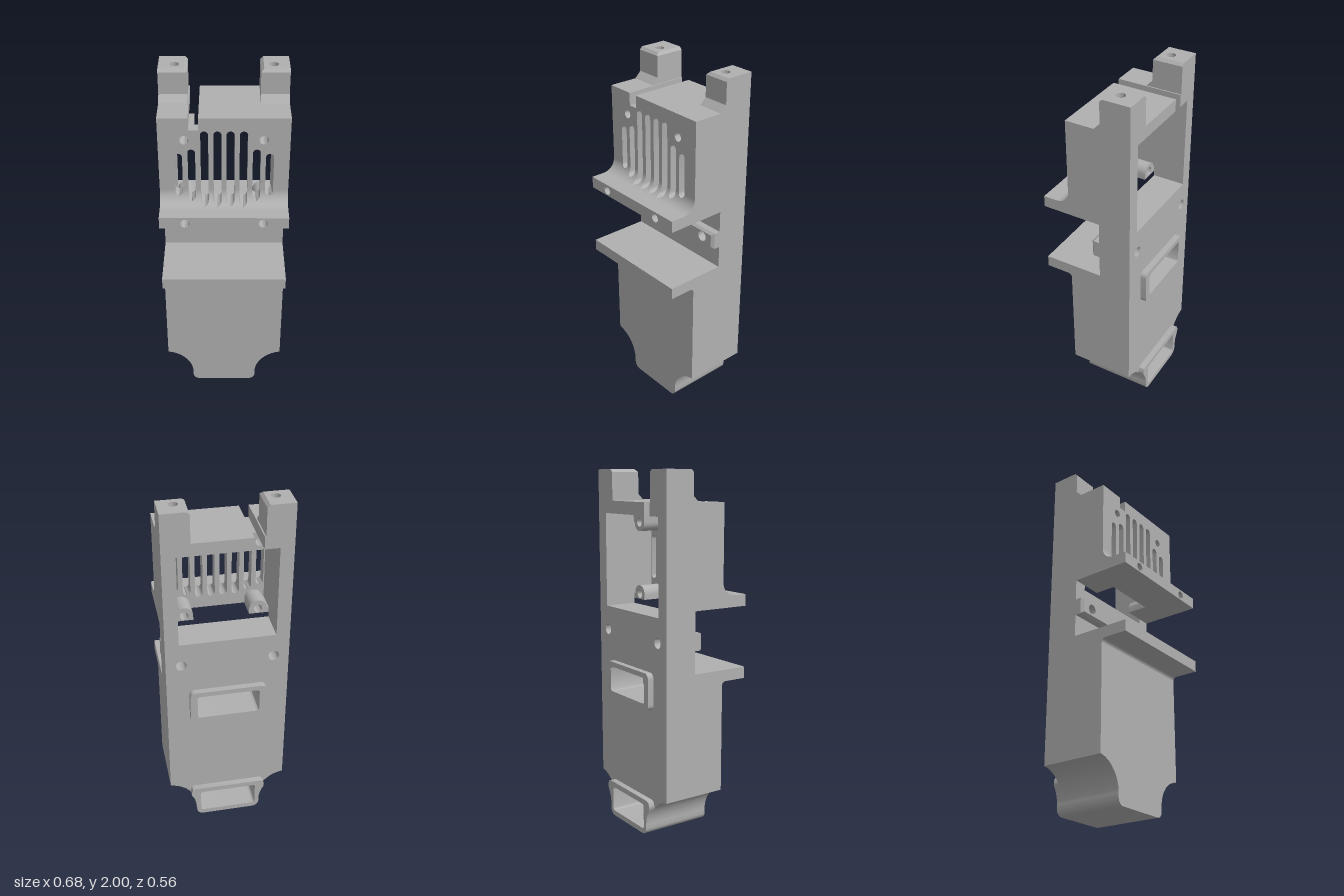
import * as THREE from 'three';
import { toCreasedNormals } from 'three/addons/utils/BufferGeometryUtils.js';

const W = 0.34;                       // body half width
const BACK = -0.245, MID = -0.06, INNER = 0.06, FRONT = 0.125, EDGE = 0.28; // z planes

export function createModel() {
  const model = new THREE.Group();
  const grey = new THREE.MeshStandardMaterial({ color: 0xb0b0b0 });
  grey.name = 'grey plastic';

  const add = (name, geo) => {
    const mesh = new THREE.Mesh(geo, grey);
    mesh.name = name;
    model.add(mesh);
    return mesh;
  };
  const box = (name, x0, x1, y0, y1, z0, z1) => add(name,
    new THREE.BoxGeometry(x1 - x0, y1 - y0, z1 - z0)
      .translate((x0 + x1) / 2, (y0 + y1) / 2, (z0 + z1) / 2));
  const poly = (pts) => new THREE.Shape(pts.map(([x, y]) => new THREE.Vector2(x, y)));
  const rect = (x0, x1, y0, y1) => poly([[x0, y0], [x1, y0], [x1, y1], [x0, y1]]);
  const circle = (x, y, r) => new THREE.Path().absarc(x, y, r, 0, Math.PI * 2, false);
  const extrude = (shape, depth) =>
    new THREE.ExtrudeGeometry(shape, { depth, bevelEnabled: false, curveSegments: 14 });
  // Plate extruded along z between two planes
  const plate = (name, shape, z0, z1) =>
    add(name, toCreasedNormals(extrude(shape, z1 - z0).translate(0, 0, z0), 0.6));
  // Profile in (z, y) extruded along x
  const bar = (name, shape, x0, x1) =>
    add(name, toCreasedNormals(extrude(shape, x1 - x0).rotateY(-Math.PI / 2).translate(x1, 0, 0), 0.6));
  // Chamfered cap: vertices at the far end follow a rule
  const cap = (shape, depth, rule) => {
    const geo = extrude(shape, depth), p = geo.attributes.position;
    for (let i = 0; i < p.count; i++) {
      if (p.getZ(i) > depth / 2) p.setXY(i, ...rule(p.getX(i), p.getY(i)));
    }
    return geo;
  };
  const roundRect = (x, y0, y1, r) => {
    const s = new THREE.Shape();
    s.absarc(x - r, y0 + r, r, -Math.PI / 2, 0, false);
    s.absarc(x - r, y1 - r, r, 0, Math.PI / 2, false);
    s.absarc(r - x, y1 - r, r, Math.PI / 2, Math.PI, false);
    s.absarc(r - x, y0 + r, r, Math.PI, Math.PI * 1.5, false);
    return s;
  };

  // Outline with the scooped lower corners, for a given half width and top edge
  const footOutline = (w, top) => {
    const a = Math.acos((w - 0.36) / 0.17), s = new THREE.Shape();
    top.forEach(([x, y], i) => (i ? s.lineTo(x, y) : s.moveTo(x, y)));
    s.absarc(0.36, 0.06, 0.17, a, Math.PI, false);
    s.absarc(0.15, 0.04, 0.04, 0, -Math.PI / 2, true);
    s.absarc(-0.15, 0.04, 0.04, -Math.PI / 2, -Math.PI, true);
    s.absarc(-0.36, 0.06, 0.17, 0, Math.PI - a, false);
    return s;
  };

  // Back half: ports, screw holes and the large window, open at the top
  const back = footOutline(W, [[-W, 1.76], [-0.265, 1.76], [-0.265, 1.235],
    [0.265, 1.235], [0.265, 1.76], [W, 1.76]]);
  const upperPort = () => roundRect(0.175, 0.755, 0.9, 0.015);
  const lowerPort = () => roundRect(0.165, 0.03, 0.175, 0.015);
  back.holes.push(upperPort(), lowerPort(), circle(0.255, 1.1, 0.03), circle(-0.255, 1.1, 0.03));
  plate('backBody', back, BACK, MID);

  // Raised lips around the two ports
  const upperLip = roundRect(0.215, 0.722, 0.928, 0.03);
  upperLip.holes.push(upperPort());
  plate('upperPortLip', upperLip, -0.28, BACK);
  const lowerLip = footOutline(0.22, [[-0.22, 0.18], [-0.213, 0.198], [-0.195, 0.205],
    [0.195, 0.205], [0.213, 0.198], [0.22, 0.18]]);
  lowerLip.holes.push(lowerPort());
  plate('lowerPortLip', lowerLip, -0.28, BACK);

  // Lower front block, its flange and the small fillet below it
  plate('lowerFrontBody', footOutline(W, [[-W, 0.86], [W, 0.86]]), MID, FRONT);
  box('lowerFlange', -W, W, 0.857, 0.922, MID, EDGE);
  const fillet = new THREE.Shape();
  fillet.moveTo(FRONT, 0.857);
  fillet.lineTo(FRONT, 0.835);
  fillet.absarc(FRONT + 0.022, 0.835, 0.022, Math.PI, Math.PI / 2, true);
  bar('lowerFlangeFillet', fillet, -W, W);

  // Clamp rail in the recess, with a chamfered face
  const railShape = () => {
    const s = rect(-W, W, 1.05, 1.145);
    s.holes.push(circle(0.255, 1.1, 0.03), circle(-0.255, 1.1, 0.03));
    return s;
  };
  plate('clampRail', railShape(), MID, -0.025);
  const railRule = (x, y) => [Math.abs(x) > 0.33 ? x - Math.sign(x) * 0.015 : x,
    y > 1.14 ? y - 0.012 : y < 1.055 ? y + 0.012 : y];
  add('clampRailFace', toCreasedNormals(cap(railShape(), 0.015, railRule).translate(0, 0, -0.025), 0.6));

  // Upper flange with screw holes
  const flange = rect(-W, W, 1.265, 1.33);
  for (const s of [-1, 1]) flange.holes.push(circle(s * 0.205, 1.295, 0.024));
  plate('upperFlange', flange, INNER, EDGE);

  // Vent slots: centre x, bottom y, top y
  const R = 0.021, CUT = 1.42;
  const half = [[0.034, 1.333, 1.755], [0.102, 1.333, 1.755], [0.17, 1.352, 1.65], [0.238, 1.375, 1.625]];
  const slots = [...half.map(([x, a, b]) => [-x, a, b]).reverse(), ...half];

  // Grille wall above the curve, slots open downwards
  const wall = new THREE.Shape();
  wall.moveTo(-W, CUT);
  for (const [x, , top] of slots) {
    wall.lineTo(x - R, CUT);
    wall.absarc(x, top - R, R, Math.PI, 0, true);
    wall.lineTo(x + R, CUT);
  }
  wall.lineTo(W, CUT);
  wall.lineTo(W, 1.76);
  wall.lineTo(-W, 1.76);
  for (const s of [-1, 1]) wall.holes.push(circle(s * 0.205, 1.705, 0.024));
  plate('grilleWall', wall, INNER, FRONT);

  // Ribs between the slots, sweeping out onto the flange
  const slotWidth = (bottom, y) => {
    if (y <= bottom) return 0;
    const d = Math.max(0, bottom + R - y);
    return Math.sqrt(Math.max(0, R * R - d * d));
  };
  const sweep = (y) => 0.2 - Math.sqrt(Math.max(0, 0.075 ** 2 - Math.max(0, 1.405 - y) ** 2));
  for (let i = 0; i <= slots.length; i++) {
    const l = slots[i - 1], r = slots[i];
    const geo = new THREE.BoxGeometry(1, 1, 1, 1, 20, 1), p = geo.attributes.position;
    for (let k = 0; k < p.count; k++) {
      const y = 1.33 + (CUT - 1.33) * (p.getY(k) + 0.5) ** 2;
      const x = p.getX(k) < 0 ? (l ? l[0] + slotWidth(l[1], y) : -W) : (r ? r[0] - slotWidth(r[1], y) : W);
      p.setXYZ(k, x, y, p.getZ(k) > 0 ? sweep(y) : INNER);
    }
    geo.computeVertexNormals();
    add('grilleRib', geo);
  }

  // Roof in two parts, leaving the cable notch
  box('roofRight', -W, -0.183, 1.76, 1.83, BACK, FRONT);
  box('roofLeft', -0.13, W, 1.76, 1.83, BACK, FRONT);

  for (const s of [-1, 1]) {
    // Side wall of the chamber
    const xs = [s * 0.265, s * W].sort((a, b) => a - b);
    box('sideWall', xs[0], xs[1], 1.265, 1.76, MID, INNER);

    // Screw bosses joined to the wall, floor and ceiling
    for (const [cy, dir, h] of [[1.295, 1, 0.03], [1.705, -1, 0.055]]) {
      const boss = new THREE.Shape(), cx = s * 0.205;
      boss.moveTo(cx - s * 0.05, cy - dir * h);
      for (let k = 0; k <= 14; k++) {
        const a = Math.PI * (1 - k / 14);
        boss.lineTo(cx + s * 0.05 * Math.cos(a), cy + dir * 0.05 * Math.sin(a));
      }
      boss.lineTo(s * 0.265, cy);
      boss.lineTo(s * 0.265, cy - dir * h);
      boss.holes.push(circle(cx, cy, 0.024));
      plate('screwBoss', boss, MID, INNER);
    }

    // Mounting tower: shaft, chamfered cap with a screw hole, sloped foot
    const section = () => {
      const sh = poly([[s * 0.19, 0.075], [s * W, 0.075], [s * W, -BACK], [s * 0.19, -BACK]]);
      sh.holes.push(circle(s * 0.257, 0.145, 0.025));
      return sh;
    };
    const upright = (geo, y) => toCreasedNormals(geo.rotateX(-Math.PI / 2).translate(0, y, 0), 0.6);
    const towerRule = (x, y) => [Math.abs(x) < 0.195 ? s * 0.205 : x, y < 0.08 ? 0.09 : y];
    add('towerShaft', upright(extrude(section(), 0.155), 1.83));
    add('towerCap', upright(cap(section(), 0.015, towerRule), 1.985));
    const tx = [s * 0.19, s * W].sort((a, b) => a - b);
    bar('towerFoot', poly([[-0.075, 1.83], [-0.04, 1.83], [-0.075, 1.865]]), tx[0], tx[1]);
  }
  return model;
}
